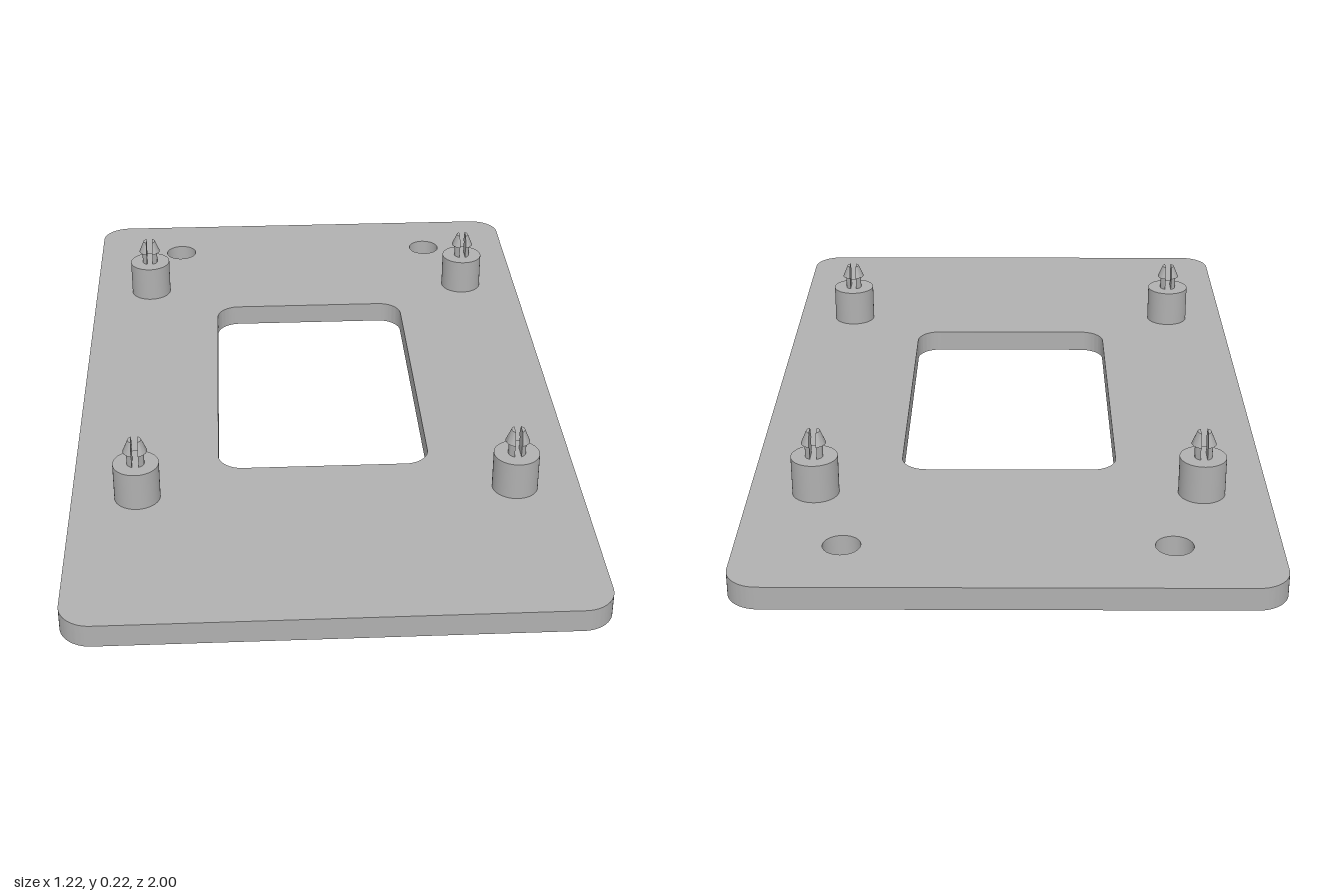
import * as THREE from 'three';
import { toCreasedNormals } from 'three/addons/utils/BufferGeometryUtils.js';

const PLATE_TOP = 0.055;
const POST_TOP = 0.15;

// Traces a rounded rectangle, centred on (cx, cy)
function roundedRect(path, cx, cy, w, h, r) {
  const x = w / 2 - r, y = h / 2 - r;
  path.absarc(cx + x, cy + y, r, 0, Math.PI / 2);
  path.absarc(cx - x, cy + y, r, Math.PI / 2, Math.PI);
  path.absarc(cx - x, cy - y, r, Math.PI, Math.PI * 1.5);
  path.absarc(cx + x, cy - y, r, Math.PI * 1.5, Math.PI * 2);
  path.closePath();
  return path;
}

// Mounting plate with a window and two screw holes (shape y becomes -z)
function plateGeometry() {
  const shape = roundedRect(new THREE.Shape(), 0, 0, 1.22, 2, 0.075);
  shape.holes.push(roundedRect(new THREE.Path(), 0, 0.03, 0.52, 0.85, 0.06));
  for (const x of [-0.37, 0.37]) {
    shape.holes.push(new THREE.Path().absarc(x, 0.82, 0.043, 0, Math.PI * 2));
  }
  const geo = new THREE.ExtrudeGeometry(shape, { depth: PLATE_TOP, bevelEnabled: false, curveSegments: 16 });
  return toCreasedNormals(geo.rotateX(-Math.PI / 2), 0.6);
}

// One half of a split barbed pin: circular segments stacked by [height, radius]
function prongGeometry() {
  const gap = 0.008, n = 16;
  const levels = [[POST_TOP, 0.021], [0.183, 0.021], [0.184, 0.029], [0.215, 0.016]];
  const rings = levels.map(([y, r]) => {
    const half = Math.acos(gap / r);
    return Array.from({ length: n + 1 }, (_, j) => {
      const a = -half + (2 * half * j) / n;
      return [r * Math.cos(a), y, r * Math.sin(a)];
    });
  });
  const pos = [];
  const tri = (...points) => points.forEach((p) => pos.push(...p));
  for (let i = 0; i < rings.length - 1; i++) {
    for (let j = 0; j <= n; j++) {
      const k = (j + 1) % (n + 1);
      const [a, b, c, d] = [rings[i][j], rings[i][k], rings[i + 1][k], rings[i + 1][j]];
      tri(a, d, c);
      tri(a, c, b);
    }
  }
  const top = rings[rings.length - 1], bottom = rings[0];
  for (let j = 1; j < n; j++) {
    tri(top[0], top[j + 1], top[j]);
    tri(bottom[0], bottom[j], bottom[j + 1]);
  }
  const geo = new THREE.BufferGeometry();
  geo.setAttribute('position', new THREE.Float32BufferAttribute(pos, 3));
  return toCreasedNormals(geo, 0.6);
}

export function createModel() {
  const model = new THREE.Group();
  model.name = 'mountingPlate';
  const grey = new THREE.MeshStandardMaterial({ color: 0xb0b0b0 });
  grey.name = 'grey plastic';

  const add = (parent, geo, name) => {
    const mesh = new THREE.Mesh(geo, grey);
    mesh.name = name;
    parent.add(mesh);
    return mesh;
  };

  add(model, plateGeometry(), 'plate');

  // Four standoffs, each a round post topped by a split snap pin
  const postHeight = POST_TOP - PLATE_TOP;
  const postGeo = new THREE.CylinderGeometry(0.055, 0.055, postHeight, 48);
  postGeo.translate(0, PLATE_TOP + postHeight / 2, 0);
  const prongGeo = prongGeometry();
  for (const x of [-0.453, 0.453]) {
    for (const z of [-0.57, 0.507]) {
      const standoff = new THREE.Group();
      standoff.name = 'standoff';
      standoff.position.set(x, 0, z);
      add(standoff, postGeo, 'post');
      add(standoff, prongGeo, 'leftProng');
      add(standoff, prongGeo, 'rightProng').rotation.y = Math.PI;
      model.add(standoff);
    }
  }
  return model;
}
